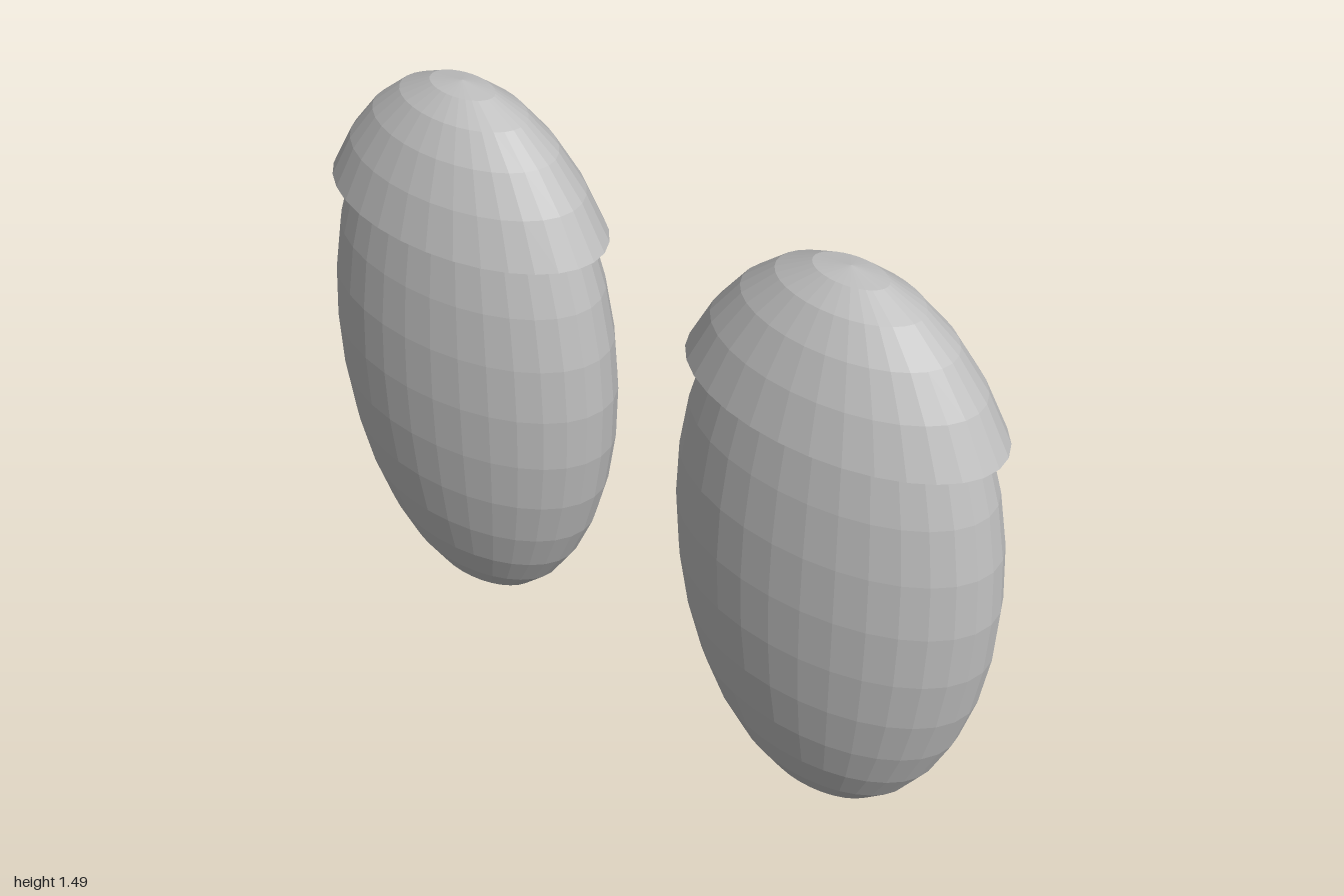
import * as THREE from 'three';

const grey = new THREE.MeshStandardMaterial({ color: 0xbfbfbf });
grey.name = 'plainGrey';
grey.flatShading = true;
grey.side = THREE.DoubleSide;

// Ellipsoid (or part of one) with the given centre and radii
function ellipsoid(name, center, radii, ...sphereArgs) {
  const geometry = new THREE.SphereGeometry(1, ...sphereArgs);
  geometry.scale(...radii);
  const mesh = new THREE.Mesh(geometry, grey);
  mesh.name = name;
  mesh.position.set(...center);
  return mesh;
}

// One egg-shaped shell: body, flared cap and a shallow bump on the back
function createShell(name, x, z) {
  const shell = new THREE.Group();
  shell.name = name;
  shell.add(
    ellipsoid('body', [x, 0.742, z], [0.425, 0.742, 0.241], 32, 16),
    ellipsoid('cap', [x, 0.688, z], [0.5, 0.802, 0.283], 32, 5, 0, Math.PI * 2, 0, Math.PI * 0.3),
    // back half only: phi from 180 to 360 degrees faces -z
    ellipsoid('backBump', [x, 0.745, -0.205], [0.15, 0.265, 0.067], 16, 16, Math.PI, Math.PI)
  );
  return shell;
}

export function createModel() {
  const model = new THREE.Group();
  model.name = 'shellPair';
  model.add(createShell('leftShell', 0.575, 0.027), createShell('rightShell', -0.575, 0));
  return model;
}
